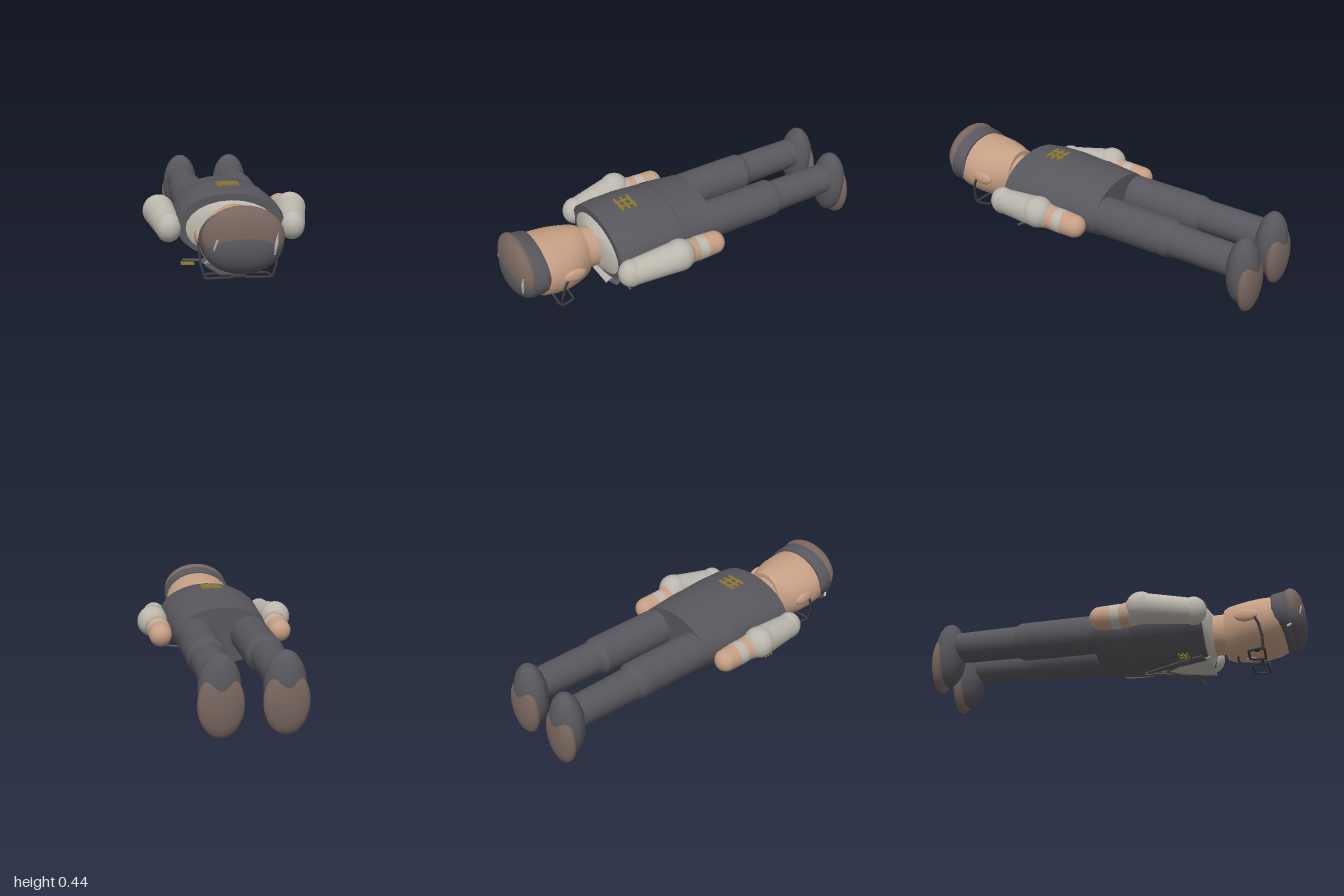
import * as THREE from 'three';
import { toCreasedNormals } from 'three/addons/utils/BufferGeometryUtils.js';

const mat = (name, color) => {
  const m = new THREE.MeshStandardMaterial({ color });
  m.name = name;
  return m;
};

export function createModel() {
  const root = new THREE.Group();
  root.name = 'lyingFigure';
  const cloth = mat('dark cloth', 0x57575d), skin = mat('skin', 0xc69f84), shirt = mat('pale shirt', 0xbbb7ad);
  const brown = mat('brown leather', 0x78665f), gold = mat('dull gold', 0x8f7a35), frame = mat('dark frame', 0x3c3c41);
  const panel = mat('pale panel', 0xb9b5ab);
  panel.side = THREE.DoubleSide;

  const add = (name, geo, m, x = 0, y = 0, z = 0) => {
    const mesh = new THREE.Mesh(geo, m);
    mesh.name = name;
    mesh.position.set(x, y, z);
    root.add(mesh);
    return mesh;
  };

  // Elliptical cross-sections [z, cx, cy, rx, ry] along rising z, closed at both ends
  const loft = (name, rows, m, n = 24) => {
    const f = rows[0], l = rows[rows.length - 1];
    const all = [[f[0], f[1], f[2], 0, 0], ...rows, [l[0], l[1], l[2], 0, 0]];
    const pos = [], idx = [];
    for (const [z, cx, cy, rx, ry] of all)
      for (let j = 0; j < n; j++) {
        const a = (j / n) * Math.PI * 2;
        pos.push(cx + rx * Math.cos(a), cy + ry * Math.sin(a), z);
      }
    for (let i = 0; i < all.length - 1; i++)
      for (let j = 0; j < n; j++) {
        const a = i * n + j, b = i * n + (j + 1) % n;
        if (i > 0) idx.push(a, b, b + n);
        if (i < all.length - 2) idx.push(a, b + n, a + n);
        if (i === 0) idx.push(a, b + n, a + n);
      }
    const g = new THREE.BufferGeometry();
    g.setAttribute('position', new THREE.Float32BufferAttribute(pos, 3));
    g.setIndex(idx);
    return add(name, toCreasedNormals(g, 0.45), m);
  };

  const ball = (name, m, x, y, z, rx, ry, rz) => {
    const g = new THREE.SphereGeometry(1, 28, 20);
    g.rotateX(Math.PI / 2);
    const mesh = add(name, g, m, x, y, z);
    mesh.scale.set(rx, ry, rz);
    return mesh;
  };

  const rod = (name, pts, r, m, closed = false) => {
    const path = new THREE.CurvePath();
    const v = pts.map(p => new THREE.Vector3(...p));
    if (closed) v.push(v[0].clone());
    for (let i = 0; i < v.length - 1; i++) path.add(new THREE.LineCurve3(v[i], v[i + 1]));
    return add(name, new THREE.TubeGeometry(path, (v.length - 1) * 6, r, 6, false), m);
  };

  // Thin plate from [x, z] corners, lying level at height y
  const plate = (name, pts, y, m, t = 0.006) => {
    const s = new THREE.Shape(pts.map(p => new THREE.Vector2(p[0], p[1])));
    const g = new THREE.ExtrudeGeometry(s, { depth: t, bevelEnabled: false });
    g.rotateX(Math.PI / 2);
    return add(name, g, m, 0, y, 0);
  };

  // Torso, jacket skirt and collar
  loft('jacket', [[0.1, 0, 0.25, 0.26, 0.168], [0.28, 0, 0.25, 0.272, 0.18], [0.4, 0, 0.25, 0.276, 0.174],
    [0.48, 0, 0.25, 0.268, 0.163]], cloth);
  loft('jacketSkirt', [[-0.095, 0, 0.25, 0.246, 0.152], [0.105, 0, 0.25, 0.263, 0.173]], cloth);
  loft('collar', [[0.47, 0, 0.24, 0.23, 0.14], [0.484, 0, 0.24, 0.225, 0.137], [0.498, 0, 0.24, 0.18, 0.126],
    [0.515, 0, 0.24, 0.11, 0.108]], shirt);

  // Neck and head
  loft('neck', [[0.48, 0, 0.24, 0.105, 0.108], [0.6, 0, 0.24, 0.106, 0.108]], skin);
  loft('head', [[0.575, 0, 0.236, 0.115, 0.135], [0.6, 0, 0.237, 0.132, 0.148], [0.65, 0, 0.238, 0.16, 0.153],
    [0.71, 0, 0.24, 0.183, 0.157], [0.78, 0, 0.245, 0.189, 0.158], [0.85, 0, 0.253, 0.188, 0.15],
    [0.92, 0, 0.265, 0.165, 0.125]], skin, 32);
  ball('nose', skin, 0, 0.088, 0.7, 0.024, 0.022, 0.032);
  rod('mouth', [[-0.045, 0.09, 0.635], [0, 0.083, 0.63], [0.045, 0.09, 0.635]], 0.005, frame);

  // Cap: band, back panel and crown
  loft('capBand', [[0.83, 0, 0.285, 0.188, 0.125], [0.845, 0, 0.272, 0.197, 0.145], [0.895, 0, 0.275, 0.196, 0.152],
    [0.93, 0, 0.28, 0.18, 0.148]], cloth, 32);
  ball('capBack', brown, 0, 0.295, 0.925, 0.19, 0.147, 0.066);
  ball('capCrown', cloth, 0, 0.25, 0.915, 0.183, 0.128, 0.083);
  rod('capPeak', [[-0.17, 0.17, 0.91], [-0.105, 0.128, 0.915], [0, 0.125, 0.915], [0.04, 0.14, 0.925]], 0.012, cloth);
  rod('capClipRight', [[-0.12, 0.3, 0.975], [-0.135, 0.25, 0.965], [-0.13, 0.225, 0.96], [-0.168, 0.17, 0.9]], 0.007, shirt);
  rod('capClipLeft', [[0.15, 0.32, 0.955], [0.145, 0.27, 0.965], [0.135, 0.22, 0.96]], 0.009, shirt);

  // Glasses bridge and chest panels
  rod('glassesBridge', [[-0.03, 0.067, 0.755], [0.03, 0.067, 0.755]], 0.007, frame);
  plate('shirtFront', [[-0.12, 0.5], [0.12, 0.5], [0, 0.2]], 0.07, panel);

  for (const s of [-1, 1]) {
    const side = s > 0 ? 'Left' : 'Right';
    ball('ear' + side, skin, s * 0.184, 0.25, 0.7, 0.018, 0.034, 0.06);
    ball('eye' + side, frame, s * 0.075, 0.099, 0.735, 0.018, 0.008, 0.018);

    // Glasses
    rod('lensFrame' + side, [[s * 0.03, 0.067, 0.775], [s * 0.15, 0.067, 0.78], [s * 0.162, 0.067, 0.76],
      [s * 0.145, 0.067, 0.7], [s * 0.045, 0.067, 0.695], [s * 0.028, 0.067, 0.72]], 0.007, frame, true);
    rod('glassesArm' + side, [[s * 0.16, 0.067, 0.775], [s * 0.178, 0.13, 0.775], [s * 0.186, 0.2, 0.76],
      [s * 0.188, 0.25, 0.735]], 0.007, frame);

    // Lapel and chest strap
    plate('lapel' + side, [[s * 0.1, 0.48], [s * 0.16, 0.46], [s * 0.12, 0.36], [s * 0.01, 0.13], [s * 0.01, 0.2]], 0.063, cloth);
    rod('chestStrap' + side, [[s * 0.24, 0.067, 0.42], [s * 0.12, 0.058, 0.4], [0, 0.062, 0.25]], 0.007, cloth);

    // Arm: sleeve, elbow, forearm, wrist and hand
    const a = (z, x, y, r) => [z, s * x, y, r, r];
    ball('shoulder' + side, shirt, s * 0.308, 0.243, 0.452, 0.064, 0.074, 0.066);
    loft('sleeve' + side, [a(0.19, 0.343, 0.272, 0.081), a(0.45, 0.308, 0.243, 0.066)], shirt);
    ball('elbow' + side, shirt, s * 0.343, 0.274, 0.19, 0.082, 0.084, 0.08);
    loft('forearm' + side, [a(0.125, 0.324, 0.256, 0.064), a(0.2, 0.34, 0.268, 0.074)], shirt);
    loft('wrist' + side, [a(0.075, 0.32, 0.25, 0.062), a(0.127, 0.324, 0.256, 0.064)], skin);
    loft('cuff' + side, [a(0.03, 0.32, 0.25, 0.063), a(0.08, 0.32, 0.251, 0.064)], shirt);
    loft('palm' + side, [a(-0.03, 0.322, 0.25, 0.06), a(0.035, 0.32, 0.25, 0.063)], skin);
    ball('hand' + side, skin, s * 0.322, 0.25, -0.03, 0.06, 0.06, 0.056);

    // Leg: thigh, knee, shin
    const l = (z, x, r) => [z, s * x, 0.25, r, r];
    loft('thigh' + side, [l(-0.5, 0.146, 0.1), l(0, 0.143, 0.102)], cloth);
    loft('knee' + side, [l(-0.53, 0.148, 0.086), l(-0.5, 0.146, 0.1), l(-0.46, 0.146, 0.1)], cloth);
    loft('shin' + side, [l(-0.86, 0.152, 0.082), l(-0.5, 0.15, 0.086)], cloth);

    // Boot
    ball('boot' + side, cloth, s * 0.152, 0.212, -0.915, 0.102, 0.182, 0.08);
    ball('sole' + side, brown, s * 0.152, 0.158, -0.955, 0.11, 0.158, 0.045);
  }

  // Jacket buttons
  for (let i = 0; i < 4; i++) ball('button', shirt, 0.03, 0.076 + Math.abs(i - 2) * 0.002, 0.14 + i * 0.05, 0.009, 0.006, 0.009);

  // Gold badge frames on the back and chest
  const badge = (name, x, y, z, k) => {
    const g = new THREE.Group();
    g.name = name;
    g.position.set(x, y, z);
    const bar = (w, d, bx, bz) => {
      const b = new THREE.Mesh(new THREE.BoxGeometry(w * k, 0.008, d * k), gold);
      b.name = 'badgeBar';
      b.position.set(bx * k, 0, bz * k);
      g.add(b);
    };
    for (const bz of [-0.036, 0, 0.036]) bar(0.112, 0.012, 0, bz);
    for (const bx of [-0.022, 0.022]) bar(0.012, 0.09, bx, 0);
    root.add(g);
  };
  badge('backBadge', 0, 0.431, 0.31, 1);
  badge('chestBadge', -0.21, 0.041, 0.38, 0.6);

  return root;
}
